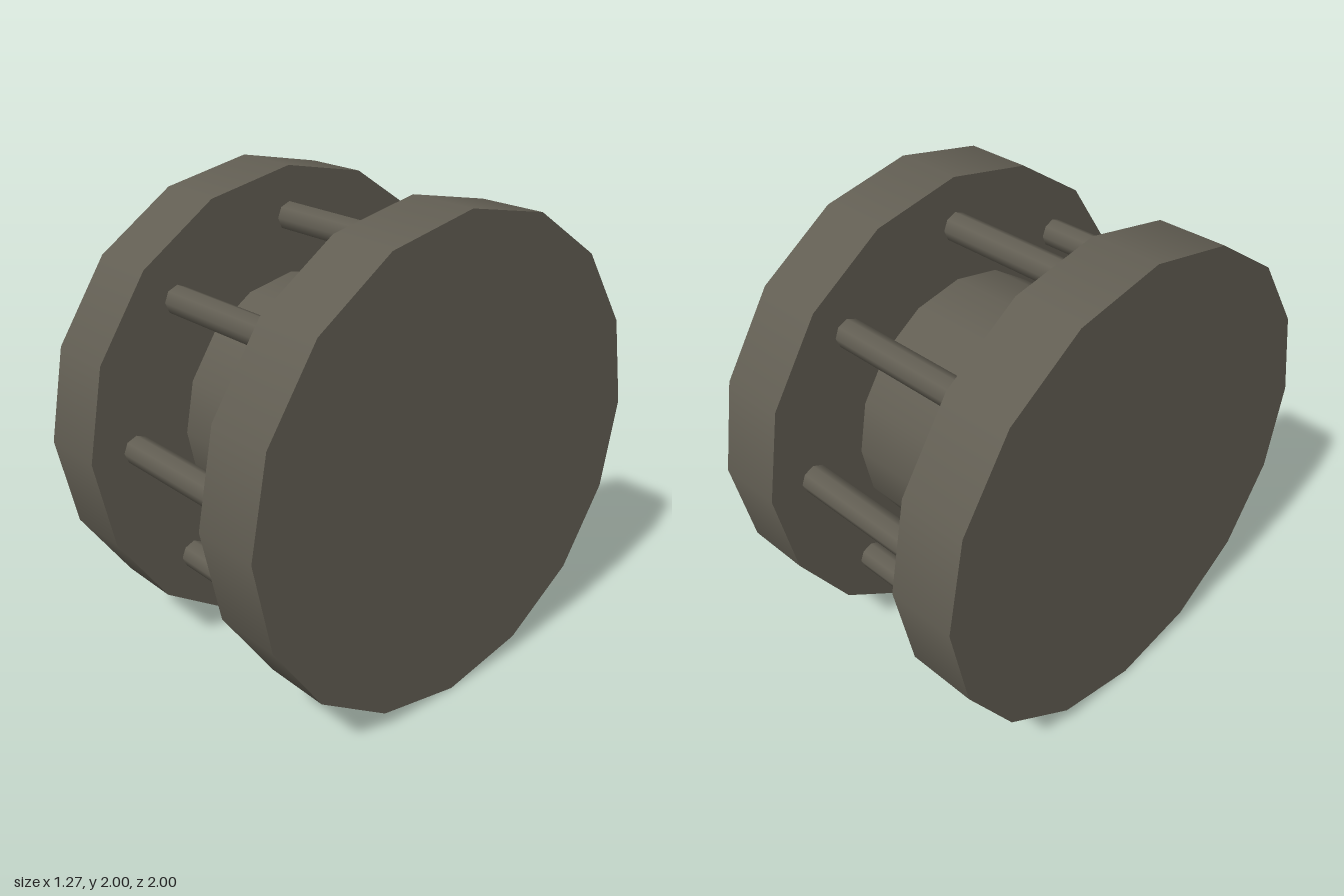
import * as THREE from 'three';

const metal = new THREE.MeshStandardMaterial({ color: 0x625e53 });
metal.name = 'dark metal';

// Cylinder lying along the x axis between x0 and x1
function bar(name, radius, sides, x0, x1, y, z, open) {
  const geometry = new THREE.CylinderGeometry(radius, radius, x1 - x0, sides, 1, open);
  geometry.rotateZ(Math.PI / 2);
  const mesh = new THREE.Mesh(geometry, metal);
  mesh.name = name;
  mesh.position.set((x0 + x1) / 2, y, z);
  return mesh;
}

export function createModel() {
  const model = new THREE.Group();
  model.name = 'spool';
  const inner = 0.347, outer = 0.635;

  // Two thick end discs
  model.add(bar('leftDisc', 1, 16, inner, outer, 1, 0, false));
  model.add(bar('rightDisc', 1, 16, -outer, -inner, 1, 0, false));

  // Central drum
  model.add(bar('drum', 0.56, 16, -inner, inner, 1, 0, true));

  // Ring of eight rods joining the discs
  const rods = new THREE.Group();
  rods.name = 'rods';
  for (let i = 0; i < 8; i++) {
    const a = (i * Math.PI) / 4;
    rods.add(bar('rod', 0.06, 8, -inner, inner, 1 + 0.795 * Math.sin(a), 0.795 * Math.cos(a), true));
  }
  model.add(rods);
  return model;
}
